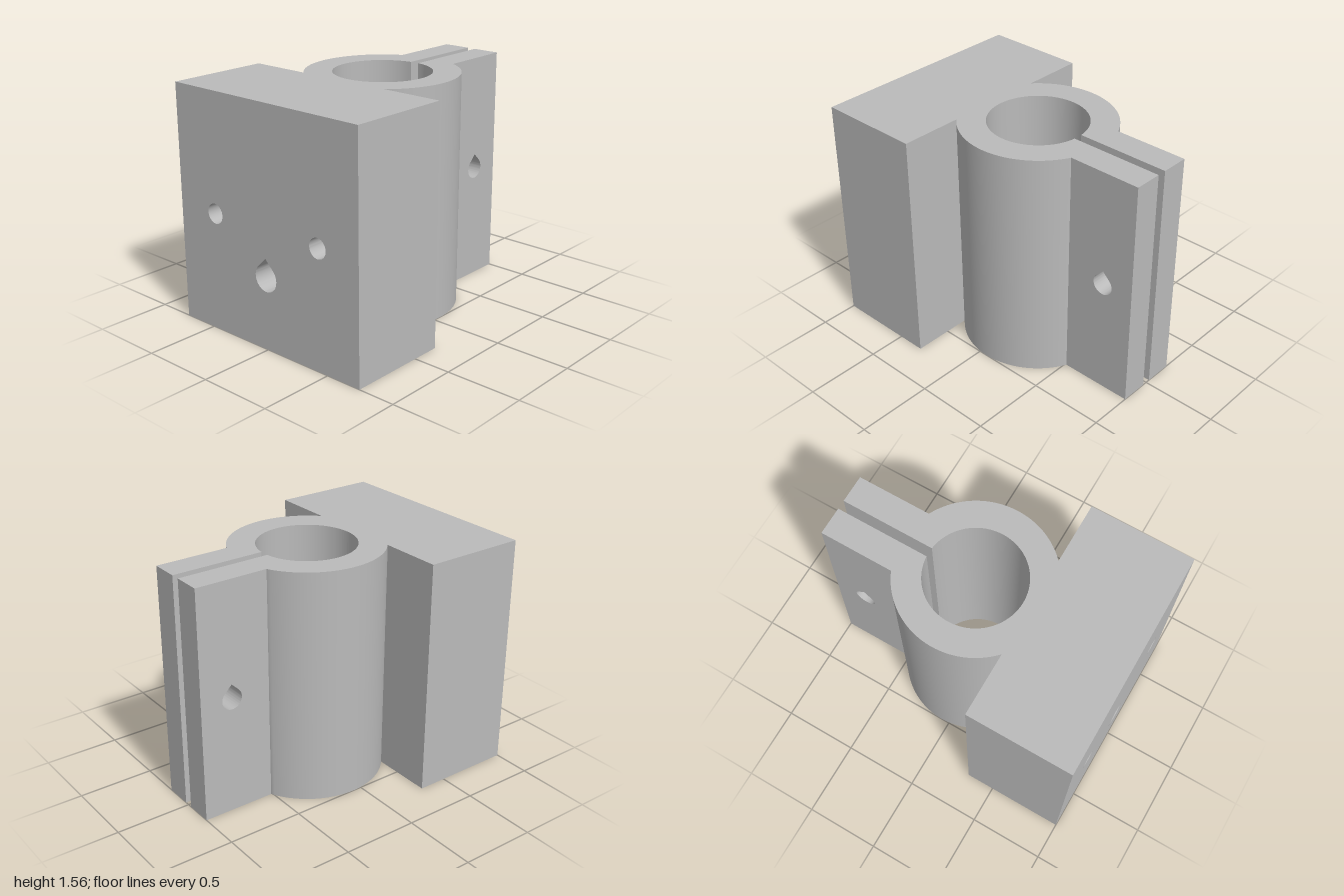
import * as THREE from 'three';
import { toCreasedNormals } from 'three/addons/utils/BufferGeometryUtils.js';

const H = 1.56;                         // overall height
const CX = 0.06, OUTER = 0.5, BORE = 0.32; // clamp ring
const FACE = -0.31;                     // inner face of the mounting block
const GAP = 0.03, EAR = 0.215;          // clamp slot and outside of the ears
const PLUG = 0.1;                       // half width of the wall pierced by the rear hole
const TEAR_Y = 0.474, TEAR_R = 0.089;   // rear teardrop hole

const plain = new THREE.MeshStandardMaterial({ color: 0xbababa });
plain.name = 'plain grey';

const v = (x, y) => new THREE.Vector2(x, y);
const chord = (r, z) => Math.sqrt(r * r - z * z);

function rect(x0, y0, x1, y1) {
  return new THREE.Shape([v(x0, y0), v(x1, y0), v(x1, y1), v(x0, y1)]);
}

function teardrop(x, y, r) {
  const p = new THREE.Path();
  p.absarc(x, y, r, Math.PI * 0.75, Math.PI * 2.25, false);
  p.lineTo(x, y + r * Math.SQRT2);
  p.closePath();
  return p;
}

function round(x, y, r) {
  return new THREE.Path().absarc(x, y, r, 0, Math.PI * 2, false);
}

function extrude(shape, depth) {
  return new THREE.ExtrudeGeometry(shape, { depth, bevelEnabled: false, curveSegments: 24 });
}

// Points on an arc about the ring axis, in plan (x, z)
function arc(r, a0, a1, n) {
  return Array.from({ length: n + 1 }, (_, i) => {
    const a = a0 + (a1 - a0) * i / n;
    return v(CX + r * Math.cos(a), r * Math.sin(a));
  });
}

export function createModel() {
  const group = new THREE.Group();
  const add = (name, geometry, parent = group) => {
    const mesh = new THREE.Mesh(toCreasedNormals(geometry, 0.5), plain);
    mesh.name = name;
    parent.add(mesh);
  };

  // Mounting block: rear layer with all the holes, front layer closing the screw holes
  const layers = [['mountingBlockRear', -1, -0.4, true], ['mountingBlockFront', -0.4, FACE, false]];
  for (const [name, x0, x1, screws] of layers) {
    const shape = rect(-0.75, 0, 0.75, H);
    shape.holes.push(teardrop(0, TEAR_Y, TEAR_R));
    if (screws) for (const s of [-1, 1]) shape.holes.push(round(s * 0.435, H / 2, 0.065));
    add(name, extrude(shape, x1 - x0).rotateY(Math.PI / 2).translate(x0, 0, 0));
  }

  // Split ring: two mirrored halves, each with a clamping ear
  const earX = CX + chord(OUTER, EAR);
  for (const s of [-1, 1]) {
    const side = s > 0 ? 'front' : 'back';
    const plan = [
      v(FACE, PLUG),
      ...arc(OUTER, Math.acos((FACE - CX) / OUTER), Math.asin(EAR / OUTER), 40),
      v(earX, GAP),
      ...arc(BORE, Math.asin(GAP / BORE), Math.PI - Math.asin(PLUG / BORE), 40),
    ];
    const half = new THREE.Shape(plan.map(p => v(p.x, -s * p.y)));
    add(side + 'RingHalf', extrude(half, H).rotateX(-Math.PI / 2));

    const ear = rect(earX, 0, 1, H);
    ear.holes.push(teardrop(0.78, H / 2 + 0.005, 0.07));
    add(side + 'ClampEar', extrude(ear, EAR - GAP).translate(0, 0, s > 0 ? GAP : -EAR));
  }

  // Ring wall beside the block, in narrow columns above and below the teardrop hole
  const wall = new THREE.Group();
  wall.name = 'piercedRingWall';
  group.add(wall);
  const low = u => TEAR_Y - Math.sqrt(Math.max(0, TEAR_R ** 2 - u * u));
  const high = u => {
    const d = Math.abs(u);
    if (d >= TEAR_R) return TEAR_Y;
    return d < TEAR_R * Math.SQRT1_2 ? TEAR_Y + TEAR_R * Math.SQRT2 - d : TEAR_Y + chord(TEAR_R, d);
  };
  const stops = [-PLUG];
  for (let i = 0; i <= 16; i++) stops.push(-TEAR_R * Math.cos(Math.PI * i / 16));
  stops.push(PLUG);
  for (let i = 0; i + 1 < stops.length; i++) {
    const a = stops[i], b = stops[i + 1];
    const columns = [
      [v(a, 0), v(b, 0), v(b, low(b)), v(a, low(a))],
      [v(a, high(a)), v(b, high(b)), v(b, H), v(a, H)],
    ];
    for (const points of columns) {
      const g = extrude(new THREE.Shape(points), 1);
      const pos = g.attributes.position;
      // Pull the inner end onto the bore
      for (let k = 0; k < pos.count; k++) {
        const inner = CX - chord(BORE, pos.getX(k));
        pos.setZ(k, pos.getZ(k) > 0.5 ? inner : FACE);
      }
      add('wallColumn', g.rotateY(Math.PI / 2), wall);
    }
  }
  return group;
}
